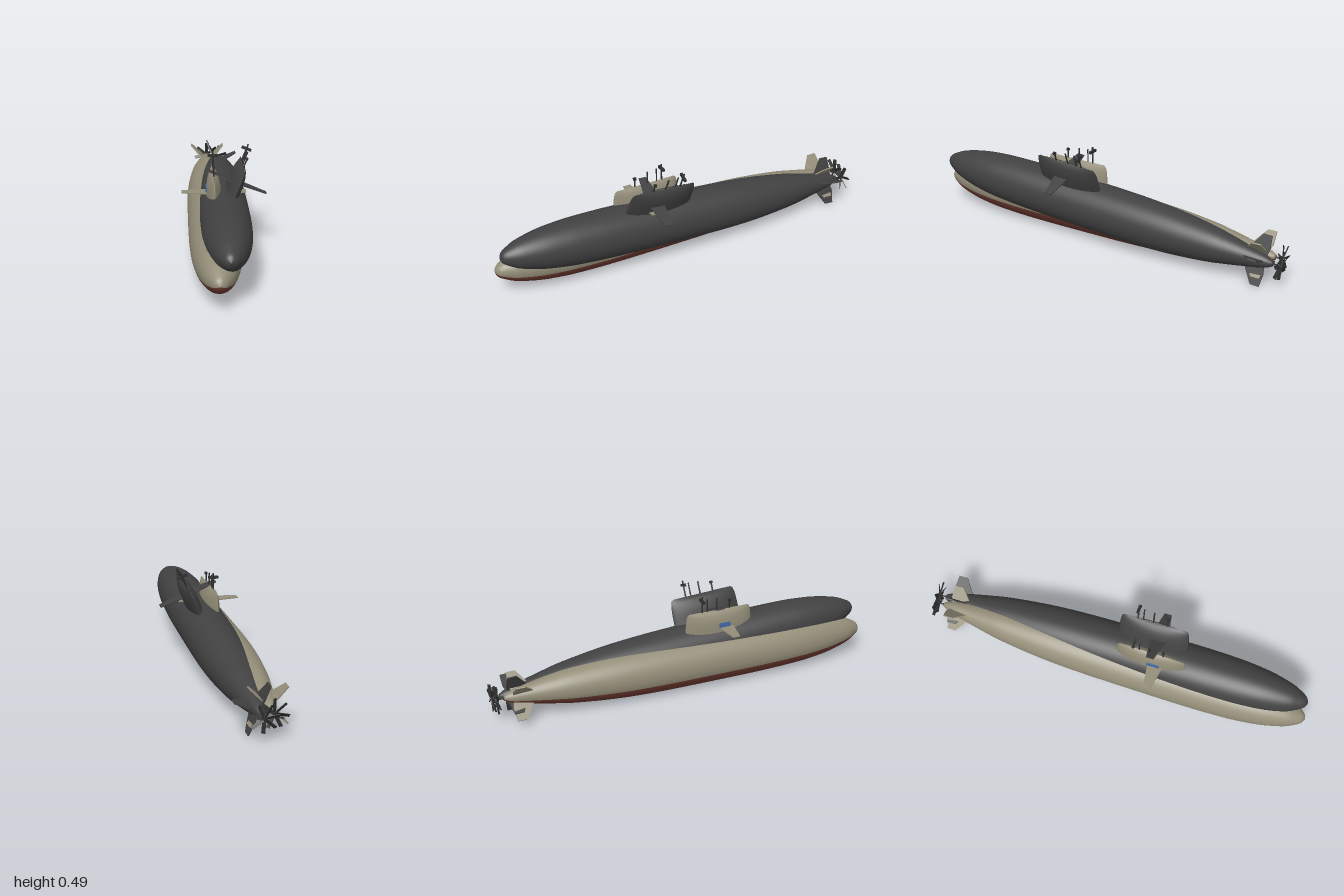
import * as THREE from 'three';

const mat = (name, color) => {
  const m = new THREE.MeshStandardMaterial({ color });
  m.name = name;
  return m;
};

export function createModel() {
  const beige = mat('beige paint', 0x938d78);
  const charcoal = mat('charcoal paint', 0x414141);
  const red = mat('red antifouling', 0x6e3a32);
  const steel = mat('dark steel', 0x303030);
  const blue = mat('blue panel', 0x3f6aa8);

  const add = (parent, name, geo, material) => {
    const mesh = new THREE.Mesh(geo, material);
    mesh.name = name;
    parent.add(mesh);
    return mesh;
  };

  // Hull profile as [radius, z], from stern to bow
  const profile = new THREE.SplineCurve([
    [0.012, -0.945], [0.032, -0.9], [0.054, -0.8], [0.074, -0.7], [0.091, -0.6],
    [0.112, -0.4], [0.122, -0.2], [0.125, 0.05], [0.125, 0.4], [0.119, 0.6],
    [0.111, 0.7], [0.097, 0.8], [0.072, 0.9], [0.05, 0.95], [0.028, 0.985], [0, 1],
  ].map(([r, z]) => new THREE.Vector2(r, z))).getPoints(64);
  profile.forEach((p) => { p.x = Math.max(p.x, 0); });
  profile.unshift(new THREE.Vector2(0, -0.945));

  // Angle 0 is the keel
  const hullSector = (start, sweep, segments) =>
    new THREE.LatheGeometry(profile, segments, start, sweep).rotateX(Math.PI / 2);

  // Sail lofted from lens-shaped sections: [height, width scale, length scale]
  function sailGeometry() {
    const levels = [
      [0.08, 1, 1], [0.16, 1, 1], [0.19, 0.93, 0.995], [0.215, 0.8, 0.985],
      [0.235, 0.58, 0.965], [0.248, 0.34, 0.94], [0.256, 0.02, 0.88],
    ];
    const n = 32, pos = [], idx = [];
    levels.forEach(([y, w, l]) => {
      for (let i = 0; i < n; i++) {
        const t = (i / n) * Math.PI * 2, s = Math.sin(t);
        pos.push(0.037 * w * Math.sign(s) * Math.abs(s) ** 1.25, y, 0.18 + 0.18 * l * Math.cos(t));
      }
    });
    for (let k = 0; k < levels.length - 1; k++) {
      for (let i = 0; i < n; i++) {
        const a = k * n + i, b = k * n + (i + 1) % n;
        idx.push(a, b, a + n, b, b + n, a + n);
      }
    }
    const g = new THREE.BufferGeometry();
    g.setAttribute('position', new THREE.Float32BufferAttribute(pos, 3));
    g.setIndex(idx);
    g.computeVertexNormals();
    return g;
  }

  // Flat fin from [span, z] corners, thickness along y
  const finGeometry = (corners, thickness) => {
    const shape = new THREE.Shape(corners.map(([s, z]) => new THREE.Vector2(s, z)));
    return new THREE.ExtrudeGeometry(shape, { depth: thickness, bevelEnabled: false })
      .translate(0, 0, -thickness / 2).rotateX(Math.PI / 2);
  };

  function submarine(name, paint, keelPaint) {
    const sub = new THREE.Group();
    sub.name = name;

    // Hull, with the lower band in its own colour
    const half = THREE.MathUtils.degToRad(70);
    add(sub, 'lowerHull', hullSector(-half, 2 * half, 28), keelPaint);
    add(sub, 'upperHull', hullSector(half, 2 * Math.PI - 2 * half, 44), paint);

    // Sail and its two diving planes
    add(sub, 'sail', sailGeometry(), paint);
    const plane = finGeometry([[0.02, 0.17], [0.157, 0.188], [0.157, 0.226], [0.02, 0.25]], 0.005);
    for (const side of [0, 1]) {
      const p = add(sub, side ? 'rightSailPlane' : 'leftSailPlane', plane, paint);
      p.position.y = 0.169;
      p.rotation.z = side * Math.PI;
    }

    // Masts: [z, top, radius]
    [[0.09, 0.339, 0.004], [0.118, 0.322, 0.0035], [0.17, 0.318, 0.004], [0.24, 0.305, 0.004]]
      .forEach(([z, top, r]) => {
        const mast = add(sub, 'mast', new THREE.CylinderGeometry(r, r, top - 0.23, 10), steel);
        mast.position.set(0, (top + 0.23) / 2, z);
      });
    add(sub, 'mastCrossbar', new THREE.BoxGeometry(0.05, 0.013, 0.012), steel).position.set(0, 0.316, 0.09);
    add(sub, 'mastHead', new THREE.BoxGeometry(0.012, 0.012, 0.014), steel).position.set(0, 0.298, 0.24);

    // Four tail fins in an X
    const tail = finGeometry([[0.01, -0.9], [0.06, -0.912], [0.125, -0.905], [0.125, -0.86], [0.05, -0.81], [0.01, -0.8]].reverse(), 0.006);
    for (let i = 0; i < 4; i++) {
      add(sub, 'tailFin', tail, paint).rotation.z = Math.PI / 4 + i * Math.PI / 2;
    }

    // Propeller with seven pitched blades
    const propeller = new THREE.Group();
    propeller.name = 'propeller';
    propeller.position.z = -0.982;
    sub.add(propeller);
    add(propeller, 'shaft', new THREE.CylinderGeometry(0.004, 0.004, 0.045, 8).rotateX(Math.PI / 2), steel).position.z = 0.02;
    add(propeller, 'hub', new THREE.CylinderGeometry(0.012, 0.006, 0.018, 12).rotateX(Math.PI / 2), steel);
    const blade = new THREE.BoxGeometry(0.018, 0.062, 0.003).rotateY(0.6).translate(0, 0.039, 0);
    for (let i = 0; i < 7; i++) {
      add(propeller, 'blade', blade, steel).rotation.z = (i / 7) * Math.PI * 2;
    }
    return sub;
  }

  const model = new THREE.Group();
  model.name = 'submarines';

  // Level boat with a red keel and a blue panel on its sail
  const first = submarine('beigeSubmarine', beige, red);
  first.position.set(-0.05, 0.128, 0);
  add(first, 'sailPanel', new THREE.BoxGeometry(0.006, 0.025, 0.06), blue).position.set(-0.036, 0.182, 0.2);
  model.add(first);

  // Dark boat, rolled over and pitched bow up
  const second = submarine('darkSubmarine', charcoal, charcoal);
  second.position.set(-0.002, 0.171, -0.012);
  second.rotation.set(-0.06, 0, -0.388);
  model.add(second);

  return model;
}
